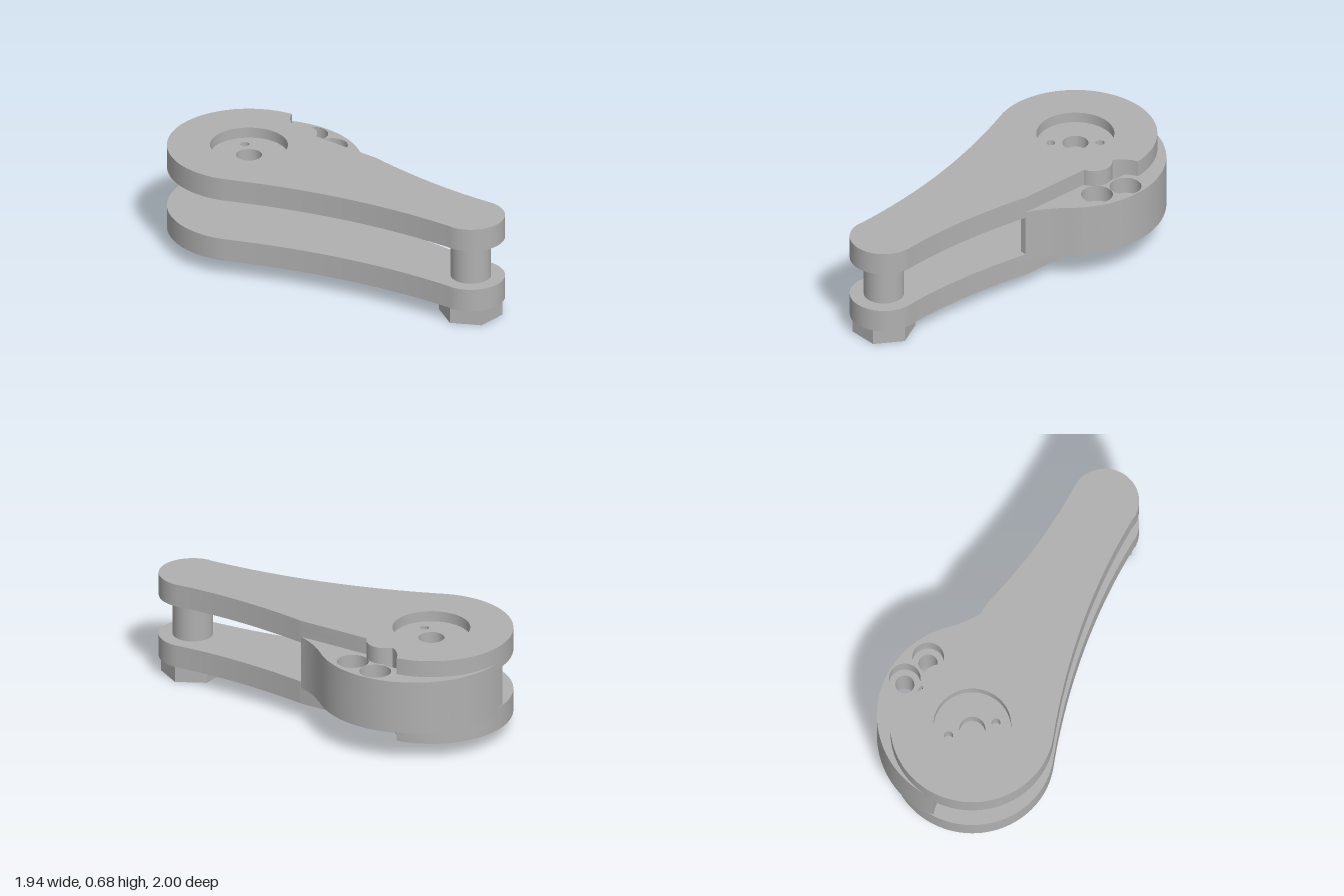
import * as THREE from 'three';
import { toCreasedNormals } from 'three/addons/utils/BufferGeometryUtils.js';

const PIVOT = [-0.46, -0.43];   // centre of the round end (x, z)
const BOLT = [0.75, 0.785];     // centre of the narrow end (x, z)
const SCREWS = [[-0.005, -0.74], [0.09, -0.56]];
const POCKETS = [[0.06, 0.08, 0.24], [-0.59, -0.70, 0.22]]; // x, z, half length

// Extrudes an outline drawn in (x, z) between two heights
function slab(shape, y0, y1) {
  const g = new THREE.ExtrudeGeometry(shape, { depth: y1 - y0, bevelEnabled: false, curveSegments: 40 });
  g.rotateX(Math.PI / 2).translate(0, y1, 0);
  return toCreasedNormals(g, 0.5);
}

function circleHole(x, z, r) {
  return new THREE.Path().absarc(x, z, r, 0, Math.PI * 2, false);
}

// Rectangle lying across the line of the arm
function pocketHole([x, z, half]) {
  const w = 0.09, k = Math.SQRT1_2;
  return new THREE.Path([[1, 1], [1, -1], [-1, -1], [-1, 1]].map(([a, b]) =>
    new THREE.Vector2(x + k * (a * half + b * w), z + k * (-a * half + b * w))));
}

// Arm plate: round end, waisted sides, narrow end and scalloped notch
function plateShape(holes = []) {
  const s = new THREE.Shape();
  s.absarc(...PIVOT, 0.515, -0.854, -4.26, true);
  s.quadraticCurveTo(0.07, 0.38, 0.6, 0.935);
  s.absarc(...BOLT, 0.215, 2.37, -0.8, true);
  s.quadraticCurveTo(0.575, 0.33, 0.3, -0.11);
  s.lineTo(-0.025, -0.48);
  s.quadraticCurveTo(-0.005, -0.51, -0.01, -0.56);
  s.quadraticCurveTo(-0.03, -0.66, -0.14, -0.66);
  s.quadraticCurveTo(-0.16, -0.74, -0.122, -0.82);
  s.holes.push(...holes);
  return s;
}

// Curved wall between the plates
function wallShape(screwRadius) {
  const s = new THREE.Shape();
  s.absarc(-0.36, -0.39, 0.61, -2.426, 0, false);
  s.quadraticCurveTo(0.25, -0.23, 0.3, -0.11);
  s.lineTo(0.265, -0.08);
  s.absarc(...PIVOT, 0.44, 0, -2.324, true);
  for (const [x, z] of SCREWS) s.holes.push(circleHole(x, z, screwRadius));
  return s;
}

export function createModel() {
  const grey = new THREE.MeshStandardMaterial({ color: 0xb0b0b0 });
  grey.name = 'grey';
  const model = new THREE.Group();
  model.name = 'pivotArm';

  const group = (name) => {
    const g = new THREE.Group();
    g.name = name;
    model.add(g);
    return g;
  };
  const add = (parent, name, geometry) => {
    const m = new THREE.Mesh(geometry, grey);
    m.name = name;
    parent.add(m);
    return m;
  };

  // Lower plate: two pockets underneath, each with a pair of blind pin holes
  const lower = group('lowerPlate');
  const k = Math.SQRT1_2 * 0.11;
  const pinHoles = POCKETS.flatMap(([x, z]) =>
    [1, -1].map((d) => circleHole(x + d * k, z - d * k, 0.045)));
  add(lower, 'lowerPlatePocketLayer', slab(plateShape(POCKETS.map(pocketHole)), 0.11, 0.15));
  add(lower, 'lowerPlatePinLayer', slab(plateShape(pinHoles), 0.15, 0.2));
  add(lower, 'lowerPlateTopLayer', slab(plateShape(), 0.2, 0.26));

  // Upper plate: round recess with a centre bore and two small holes
  const upper = group('upperPlate');
  const [px, pz] = PIVOT;
  add(upper, 'upperPlateBoredLayer', slab(plateShape([
    circleHole(px, pz, 0.082),
    circleHole(px, pz - 0.155, 0.028),
    circleHole(px, pz + 0.155, 0.028),
  ]), 0.53, 0.61));
  add(upper, 'upperPlateRecessLayer', slab(plateShape([circleHole(px, pz, 0.245)]), 0.61, 0.68));

  // Curved wall with two counterbored screw holes
  const wall = group('curvedWall');
  add(wall, 'wallBody', slab(wallShape(0.06), 0.22, 0.46));
  add(wall, 'wallCounterbore', slab(wallShape(0.1), 0.46, 0.57));

  // Stop peg inside the housing
  add(model, 'stopPeg', new THREE.CylinderGeometry(0.055, 0.055, 0.16, 32))
    .position.set(-0.615, 0.32, -0.69);

  // Bolt with hexagonal head under the narrow end
  const bolt = group('bolt');
  bolt.position.set(BOLT[0], 0, BOLT[1]);
  add(bolt, 'boltShaft', new THREE.CylinderGeometry(0.127, 0.127, 0.31, 48)).position.y = 0.395;
  const head = new THREE.CylinderGeometry(0.202, 0.202, 0.112, 6, 1, false, Math.PI / 18);
  add(bolt, 'boltHead', toCreasedNormals(head, 0.5)).position.y = 0.056;

  return model;
}
